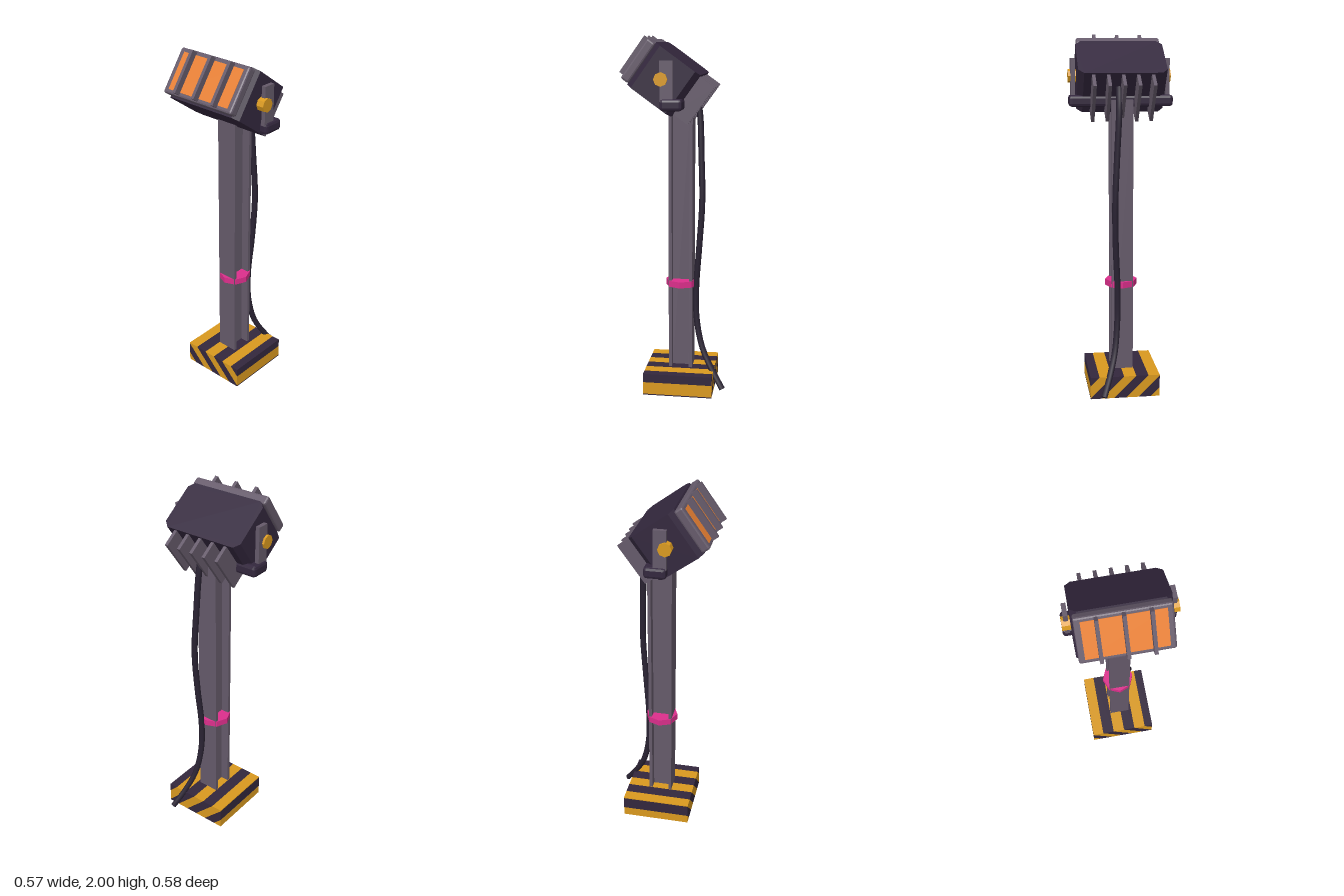
import * as THREE from 'three';
import { RoundedBoxGeometry } from 'three/addons/geometries/RoundedBoxGeometry.js';

const mat = (name, color) => {
  const m = new THREE.MeshStandardMaterial({ color });
  m.name = name;
  return m;
};

// Box with flat 45 degree bevels
function bevelBox(w, h, d, r) {
  let g = new RoundedBoxGeometry(w, h, d, 1, r);
  if (g.index) g = g.toNonIndexed();
  g.computeVertexNormals();
  return g;
}

// Cuts a polygon, keeping the side where sign * (x + y - c) >= 0
function clip(points, c, sign) {
  const out = [];
  points.forEach((a, i) => {
    const b = points[(i + 1) % points.length];
    const da = sign * (a.x + a.y - c), db = sign * (b.x + b.y - c);
    if (da >= 0) out.push(a);
    if (da * db < 0) out.push(a.clone().lerp(b, da / (da - db)));
  });
  return out;
}

export function createModel() {
  const model = new THREE.Group();
  model.name = 'floodlight';
  const dark = mat('darkPlum', 0x33273d);
  const rubber = mat('cableBlack', 0x2a2333);
  const steel = mat('greySteel', 0x655a6a);
  const yellow = mat('hazardYellow', 0xd9991f);
  const orange = mat('lensOrange', 0xf08434);
  const pink = mat('bandPink', 0xdc2f8c);

  function add(parent, name, geometry, material, x = 0, y = 0, z = 0) {
    const m = new THREE.Mesh(geometry, material);
    m.name = name;
    m.position.set(x, y, z);
    parent.add(m);
    return m;
  }
  const box = (w, h, d) => new THREE.BoxGeometry(w, h, d);
  const CZ = -0.03; // centre line of the post

  // Base block: diagonal hazard bands running front to back
  const base = new THREE.Group();
  base.name = 'base';
  model.add(base);
  const H = 0.195, T = 0.125, step = 0.069;
  const rect = [[-H, 0], [H, 0], [H, T], [-H, T]].map(p => new THREE.Vector2(...p));
  for (let i = 0; i < 8; i++) {
    const hi = 0.339 - step * i;
    const poly = clip(clip(rect, hi, -1), hi - step, 1);
    if (poly.length < 3) continue;
    const g = new THREE.ExtrudeGeometry(new THREE.Shape(poly), { depth: 2 * H, bevelEnabled: false });
    add(base, 'hazardBand', g, i % 2 ? yellow : dark, 0, 0, CZ - H);
  }

  // I-beam post
  const post = new THREE.Group();
  post.name = 'post';
  model.add(post);
  const postH = 1.53, postY = T + postH / 2 - 0.005;
  for (const s of [-1, 1]) add(post, 'flange', box(0.12, postH, 0.018), steel, 0, postY, CZ + s * 0.058);
  add(post, 'web', box(0.026, postH, 0.1), steel, 0, postY, CZ);

  // Octagonal band round the post
  const bandGeo = new THREE.CylinderGeometry(0.09, 0.09, 0.035, 8).toNonIndexed();
  bandGeo.computeVertexNormals();
  add(model, 'postBand', bandGeo, pink, 0, 0.622, CZ);

  // Yoke under the head, side arms and pivot knobs
  add(model, 'yoke', bevelBox(0.568, 0.062, 0.118, 0.016), dark, 0, 1.643, -0.008);
  const knobGeo = new THREE.CylinderGeometry(0.037, 0.037, 0.043, 8).toNonIndexed();
  knobGeo.rotateZ(Math.PI / 2);
  knobGeo.computeVertexNormals();
  for (const s of [-1, 1]) {
    add(model, 'yokeArm', box(0.023, 0.21, 0.068), steel, s * 0.26, 1.765, 0.017);
    add(model, 'pivotKnob', knobGeo, yellow, s * 0.262, 1.775, 0.045);
  }

  // Lamp head, tilted upwards about the pivot
  const head = new THREE.Group();
  head.name = 'lampHead';
  head.position.set(0, 1.775, 0.045);
  head.rotation.x = -0.625;
  model.add(head);

  // Housing with chamfered upright edges
  const W = 0.24, c = 0.03, back = -0.15, front = 0.135;
  const plan = new THREE.Shape([
    [-W + c, back], [W - c, back], [W, back + c], [W, front - c],
    [W - c, front], [-W + c, front], [-W, front - c], [-W, back + c],
  ].map(([x, z]) => new THREE.Vector2(x, -z)));
  const housing = new THREE.ExtrudeGeometry(plan, { depth: 0.266, bevelEnabled: false });
  housing.rotateX(-Math.PI / 2);
  add(head, 'housing', housing, dark, 0, -0.133, 0);

  // Bezel, lens and guard bars
  add(head, 'bezel', bevelBox(0.464, 0.25, 0.05, 0.01), steel, 0, 0, 0.156);
  add(head, 'lens', box(0.404, 0.206, 0.008), orange, 0, 0, 0.179);
  for (const x of [-0.128, 0, 0.128]) add(head, 'guardBar', box(0.018, 0.234, 0.042), steel, x, 0, 0.196);

  // Cooling fins on the back
  for (let i = -2; i <= 2; i++) add(head, 'coolingFin', box(0.018, 0.244, 0.105), steel, i * 0.08, 0, -0.192);

  // Cable hanging from the head to the ground
  const path = new THREE.CatmullRomCurve3([
    [0.02, 1.72, -0.1], [0.022, 1.6, -0.13], [0.035, 1.35, -0.143], [0.046, 1.1, -0.15],
    [0.042, 0.85, -0.135], [0.03, 0.6, -0.117], [0.032, 0.42, -0.12],
    [0.05, 0.25, -0.155], [0.085, 0.13, -0.215], [0.125, 0.03, -0.28],
  ].map(p => new THREE.Vector3(...p)));
  const cable = add(model, 'cable', new THREE.TubeGeometry(path, 40, 0.017, 8), rubber);
  const end = add(cable, 'cableEnd', new THREE.CircleGeometry(0.017, 8), rubber);
  end.position.copy(path.getPoint(1));
  end.lookAt(path.getPoint(1).add(path.getTangent(1)));

  return model;
}
